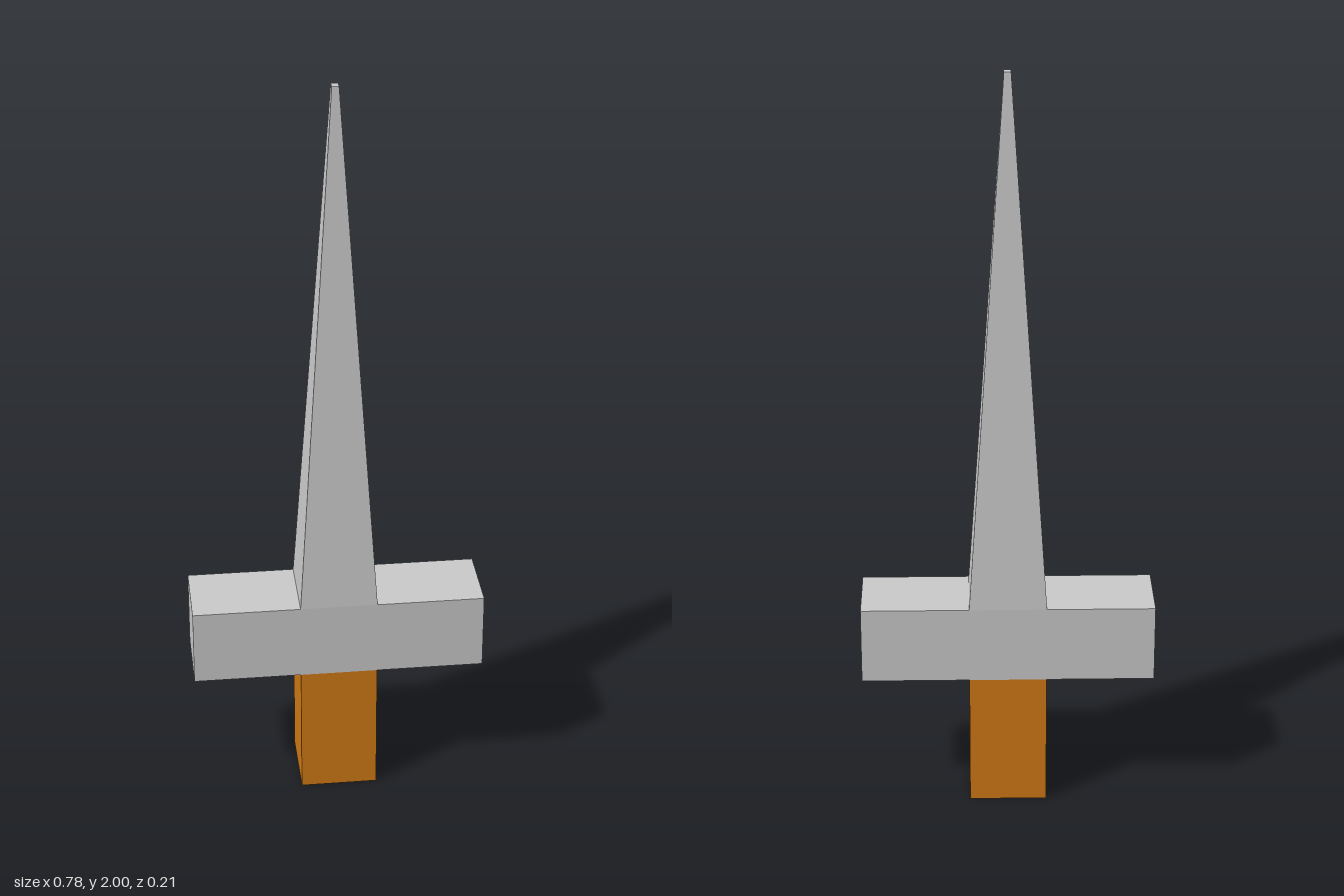
import * as THREE from 'three';

const HALF = 0.103; // shared half thickness of grip, guard and blade base
const GUARD_BOTTOM = 0.365;
const GUARD_TOP = 0.573;
const TOP = 2;

// Box spanning y0..y1 whose top face can be narrowed to a tip
function block(name, halfX, y0, y1, material, tipX = halfX, tipZ = HALF) {
  const geometry = new THREE.BoxGeometry(halfX * 2, y1 - y0, HALF * 2);
  geometry.translate(0, (y0 + y1) / 2, 0);
  const p = geometry.attributes.position;
  for (let i = 0; i < p.count; i++) {
    if (p.getY(i) > (y0 + y1) / 2) {
      p.setX(i, Math.sign(p.getX(i)) * tipX);
      p.setZ(i, Math.sign(p.getZ(i)) * tipZ);
    }
  }
  geometry.computeVertexNormals();
  const mesh = new THREE.Mesh(geometry, material);
  mesh.name = name;
  return mesh;
}

export function createModel() {
  const metal = new THREE.MeshStandardMaterial({ color: 0xcccccc, flatShading: true });
  const wood = new THREE.MeshStandardMaterial({ color: 0xd27a15, flatShading: true });

  const sword = new THREE.Group();
  sword.name = 'sword';
  sword.add(
    block('grip', HALF, 0, GUARD_BOTTOM, wood),
    block('guard', 0.39, GUARD_BOTTOM, GUARD_TOP, metal),
    // Four-sided blade with a tiny blunt tip
    block('blade', HALF, GUARD_TOP, TOP, metal, 0.009, 0.012),
  );
  return sword;
}
